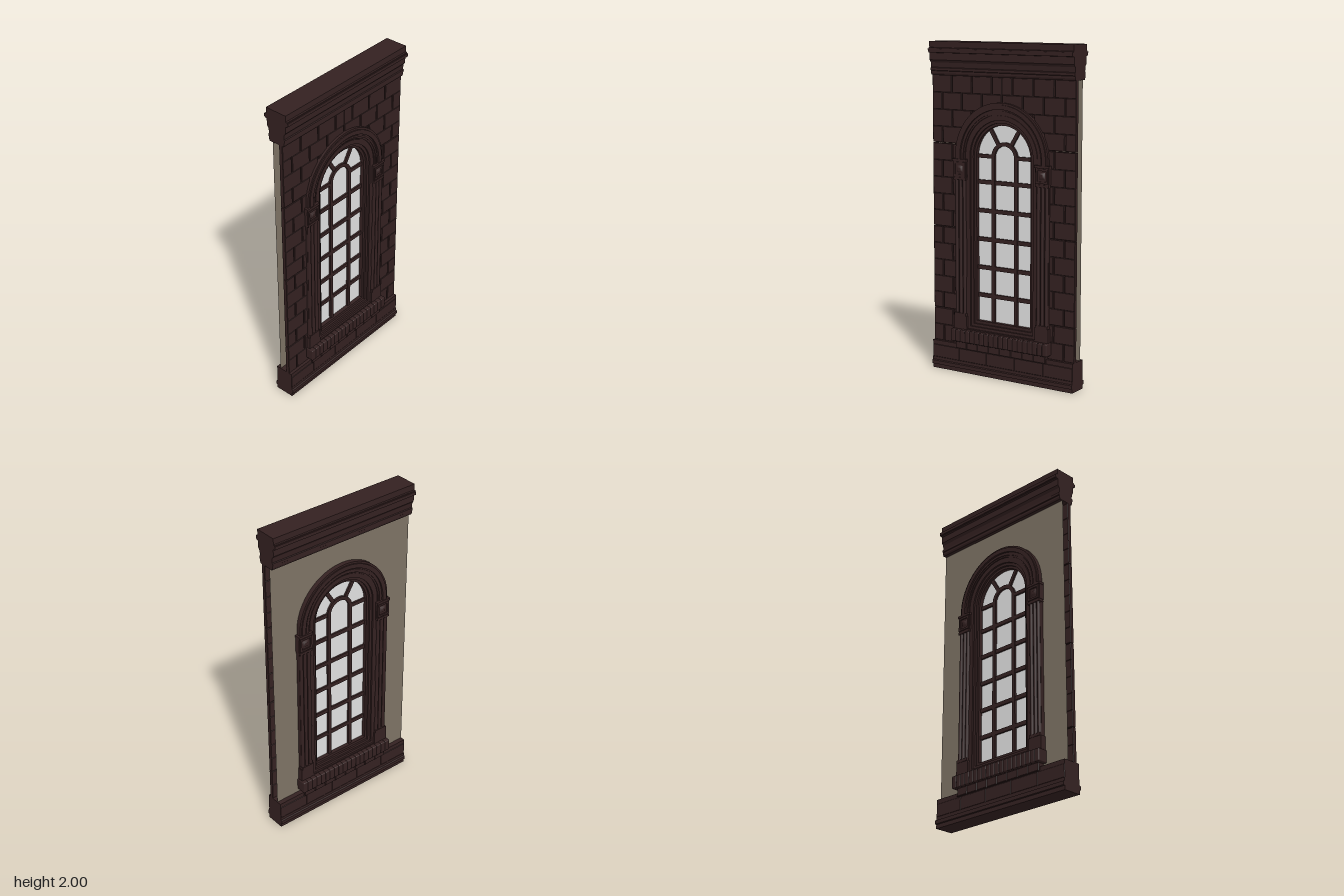
import * as THREE from 'three';
import { RoundedBoxGeometry } from 'three/addons/geometries/RoundedBoxGeometry.js';

const stone = new THREE.MeshStandardMaterial({ color: 0x342121 });
stone.name = 'dark brown stone';
const plaster = new THREE.MeshStandardMaterial({ color: 0x7e7365, side: THREE.DoubleSide });
plaster.name = 'beige plaster';
const glass = new THREE.MeshStandardMaterial({ color: 0xe2e2e2 });
glass.name = 'pale glass';

const SPRING = 1.33; // height where the arch starts

function add(parent, name, geometry, material = stone) {
  const mesh = new THREE.Mesh(geometry, material);
  mesh.name = name;
  parent.add(mesh);
  return mesh;
}

// box given by its limits, symmetric in z
function slab(parent, name, x0, x1, y0, y1, halfZ) {
  const mesh = add(parent, name, new THREE.BoxGeometry(x1 - x0, y1 - y0, halfZ * 2));
  mesh.position.set((x0 + x1) / 2, (y0 + y1) / 2, 0);
}

function polygon(points) {
  return new THREE.Shape(points.map(([x, y]) => new THREE.Vector2(x, y)));
}

// extrusion between z0 and z1 with an optional chamfer kept inside the outline
function plate(shape, z0, z1, bevel = 0) {
  return new THREE.ExtrudeGeometry(shape, {
    depth: z1 - z0 - 2 * bevel, curveSegments: 32, bevelEnabled: bevel > 0,
    bevelSize: bevel, bevelOffset: -bevel, bevelThickness: bevel, bevelSegments: 1,
  }).translate(0, 0, z0 + bevel);
}

function archOutline(r, y0) {
  const s = new THREE.Shape();
  s.moveTo(r, y0);
  s.lineTo(r, SPRING);
  s.absarc(0, SPRING, r, 0, Math.PI, false);
  s.lineTo(-r, y0);
  s.closePath();
  return s;
}

// round arch with straight legs down to y0
function archBand(r0, r1, y0) {
  const s = new THREE.Shape();
  s.moveTo(r1, y0);
  s.lineTo(r1, SPRING);
  s.absarc(0, SPRING, r1, 0, Math.PI, false);
  s.lineTo(-r1, y0);
  s.lineTo(-r0, y0);
  s.lineTo(-r0, SPRING);
  s.absarc(0, SPRING, r0, Math.PI, 0, true);
  s.lineTo(r0, y0);
  s.closePath();
  return s;
}

// moulding of unit length along x; profile lists [halfDepth, y] from bottom to top
function moulding(profile) {
  const back = profile.map(([z, y]) => [-z, y]).reverse();
  return plate(polygon([...profile, ...back]), -0.5, 0.5).rotateY(Math.PI / 2);
}

function buildBricks(parent) {
  const rows = 16, bottom = 0.175, h = (1.8 - bottom) / rows, w = 1 / 7, gap = 0.0035;
  // half-width of the opening kept free of bricks at a given height
  const limit = (y) => (y < SPRING ? 0.285 : Math.sqrt(Math.max(0, 0.29 ** 2 - (y - SPRING) ** 2)));
  for (let row = 0; row < rows; row++) {
    const joint = row % 5 === 2 ? 0.004 : 0; // a few open bed joints
    const y0 = bottom + row * h + joint, y1 = bottom + (row + 1) * h;
    const aboveArch = row >= rows - 2;
    const l0 = aboveArch ? 0 : limit(y0), l1 = aboveArch ? 0 : limit(y1);
    const offset = row % 2 ? -w / 2 : 0; // the top row has a brick on the centre line
    for (let k = 0; k < 5; k++) {
      const start = Math.max(0, offset + k * w), end = Math.min(0.5, offset + (k + 1) * w);
      if (end - start < 0.02) continue;
      const a = start === 0 && offset ? 0 : start + gap;
      const b = end === 0.5 ? 0.5 : end - gap;
      const a0 = Math.min(Math.max(a, l0), b), a1 = Math.min(Math.max(a, l1), b);
      if (b - a1 < 0.012) continue;
      const pts = b - a0 < 0.012 ? [[b, y0], [b, y1], [a1, y1]] : [[a0, y0], [b, y0], [b, y1], [a1, y1]];
      for (const side of [1, -1]) {
        const shape = polygon(pts.map(([x, y]) => [x * side, y]));
        add(parent, 'brick', plate(shape, 0.016, 0.041, 0.002));
      }
    }
  }
}

function buildPilaster(side) {
  const g = new THREE.Group();
  g.name = side > 0 ? 'leftPilaster' : 'rightPilaster';
  slab(g, 'plinth', -0.047, 0.047, 0.27, 0.355, 0.063);
  slab(g, 'plinthMoulding', -0.042, 0.042, 0.355, 0.372, 0.066);
  slab(g, 'shaft', -0.041, 0.041, 0.37, 1.2, 0.052);
  for (const z of [1, -1]) {
    // rounded reeds on the shaft
    for (const x of [-0.028, 0, 0.028]) {
      const reed = add(g, 'reed', new THREE.CylinderGeometry(0.012, 0.012, 0.83, 10));
      reed.position.set(x, 0.785, z * 0.051);
    }
    // framed panel with a raised square point on the capital
    for (const s of [-1, 1]) {
      add(g, 'panelFrame', new THREE.BoxGeometry(0.012, 0.082, 0.01)).position.set(s * 0.036, 1.249, z * 0.062);
      add(g, 'panelFrame', new THREE.BoxGeometry(0.084, 0.012, 0.01)).position.set(0, 1.249 + s * 0.037, z * 0.062);
    }
    const boss = add(g, 'panelBoss', new THREE.CylinderGeometry(0.014, 0.034, 0.012, 4, 1).rotateY(Math.PI / 4).rotateX(z * Math.PI / 2));
    boss.position.set(0, 1.249, z * 0.063);
  }
  slab(g, 'capitalNeck', -0.045, 0.045, 1.185, 1.2, 0.065);
  slab(g, 'capital', -0.047, 0.047, 1.2, 1.297, 0.06);
  slab(g, 'capitalTop', -0.05, 0.05, 1.295, 1.31, 0.067);
  g.position.x = side * 0.289;
  return g;
}

function buildWindow() {
  const g = new THREE.Group();
  g.name = 'window';
  add(g, 'glassPane', plate(archOutline(0.2, 0.3), -0.003, 0.003), glass);
  // stepped inner frame running down to the sill
  for (const [r0, r1, z] of [[0.19, 0.207, 0.028], [0.205, 0.225, 0.04], [0.222, 0.25, 0.05]]) {
    add(g, 'innerFrame', plate(archBand(r0, r1, 0.27), -z, z));
  }
  slab(g, 'bottomRail', -0.2, 0.2, 0.31, 0.332, 0.028);
  slab(g, 'bottomRailStep', -0.215, 0.215, 0.295, 0.314, 0.04);
  slab(g, 'bottomRailBase', -0.235, 0.235, 0.265, 0.297, 0.05);
  // glazing bars
  add(g, 'centreArchBar', plate(archBand(0.068, 0.091, 0.32), -0.016, 0.016));
  for (const y of [0.49, 0.66, 0.832, 1.005, 1.177]) {
    slab(g, 'crossBar', -0.195, 0.195, y - 0.0125, y + 0.0125, 0.014);
  }
  for (const s of [1, -1]) {
    slab(g, 'springBar', s > 0 ? 0.08 : -0.195, s > 0 ? 0.195 : -0.08, 1.32, 1.343, 0.014);
    const angle = Math.PI / 2 - s * 0.55;
    const bar = add(g, 'radialBar', new THREE.BoxGeometry(0.12, 0.023, 0.028));
    bar.position.set(Math.cos(angle) * 0.14, SPRING + Math.sin(angle) * 0.14, 0);
    bar.rotation.z = angle;
  }
  return g;
}

function buildSill() {
  const g = new THREE.Group();
  g.name = 'sill';
  slab(g, 'sillTop', -0.24, 0.24, 0.265, 0.28, 0.06);
  // row of rounded bricks set on end
  const count = 20, halfWidth = 0.343, pitch = (2 * halfWidth) / count;
  for (let i = 0; i < count; i++) {
    const brick = add(g, 'sillBrick', new RoundedBoxGeometry(pitch, 0.076, 0.182, 2, 0.006));
    brick.position.set(-halfWidth + (i + 0.5) * pitch, 0.235, 0);
  }
  // supporting course
  for (let i = 0; i < 8; i++) {
    const x = -0.32 + i * 0.08;
    const shape = polygon([[x, 0.15], [x + 0.08, 0.15], [x + 0.08, 0.199], [x, 0.199]]);
    add(g, 'supportBlock', plate(shape, -0.07, 0.07, 0.003));
  }
  return g;
}

export function createModel() {
  const model = new THREE.Group();
  model.name = 'archedWindowWall';

  // thin plaster sheet at the back, with an arched opening
  const sheet = polygon([[-0.5, 0.16], [0.5, 0.16], [0.5, 1.81], [-0.5, 1.81]]);
  sheet.holes.push(new THREE.Path(archOutline(0.245, 0.2).getPoints(32)));
  add(model, 'plasterWall', new THREE.ShapeGeometry(sheet), plaster).position.z = -0.028;

  // separate brick facing at the front
  const bricks = new THREE.Group();
  bricks.name = 'brickFacing';
  buildBricks(bricks);
  model.add(bricks);

  add(model, 'cornice', moulding([
    [0.05, 1.8], [0.055, 1.812], [0.055, 1.825], [0.059, 1.828], [0.059, 1.843], [0.053, 1.846],
    [0.056, 1.875], [0.067, 1.89], [0.067, 1.932], [0.079, 1.934], [0.079, 1.938], [0.085, 1.938],
    [0.085, 1.957], [0.079, 1.957], [0.079, 1.962], [0.07, 1.964], [0.07, 2],
  ]));

  // base moulding and block courses
  add(model, 'baseMoulding', moulding([
    [0.06, 0], [0.06, 0.024], [0.069, 0.026], [0.069, 0.048], [0.06, 0.052], [0.06, 0.07],
  ]));
  for (let i = 0; i < 5; i++) {
    const x = -0.5 + i * 0.2;
    const shape = polygon([[x, 0.07], [x + 0.2, 0.07], [x + 0.2, 0.148], [x, 0.148]]);
    add(model, 'baseBlock', plate(shape, -0.06, 0.06, 0.002));
  }
  slab(model, 'baseTop', -0.5, 0.5, 0.147, 0.175, 0.058);

  // stepped arch moulding
  const rings = [
    [0.245, 0.258, 0.046], [0.256, 0.268, 0.052], [0.266, 0.278, 0.057],
    [0.276, 0.288, 0.052], [0.286, 0.313, 0.063], [0.311, 0.325, 0.056],
  ];
  for (const [r0, r1, z] of rings) {
    add(model, 'archMoulding', plate(archBand(r0, r1, 1.305), -z, z));
  }

  model.add(buildWindow(), buildPilaster(1), buildPilaster(-1), buildSill());
  return model;
}
